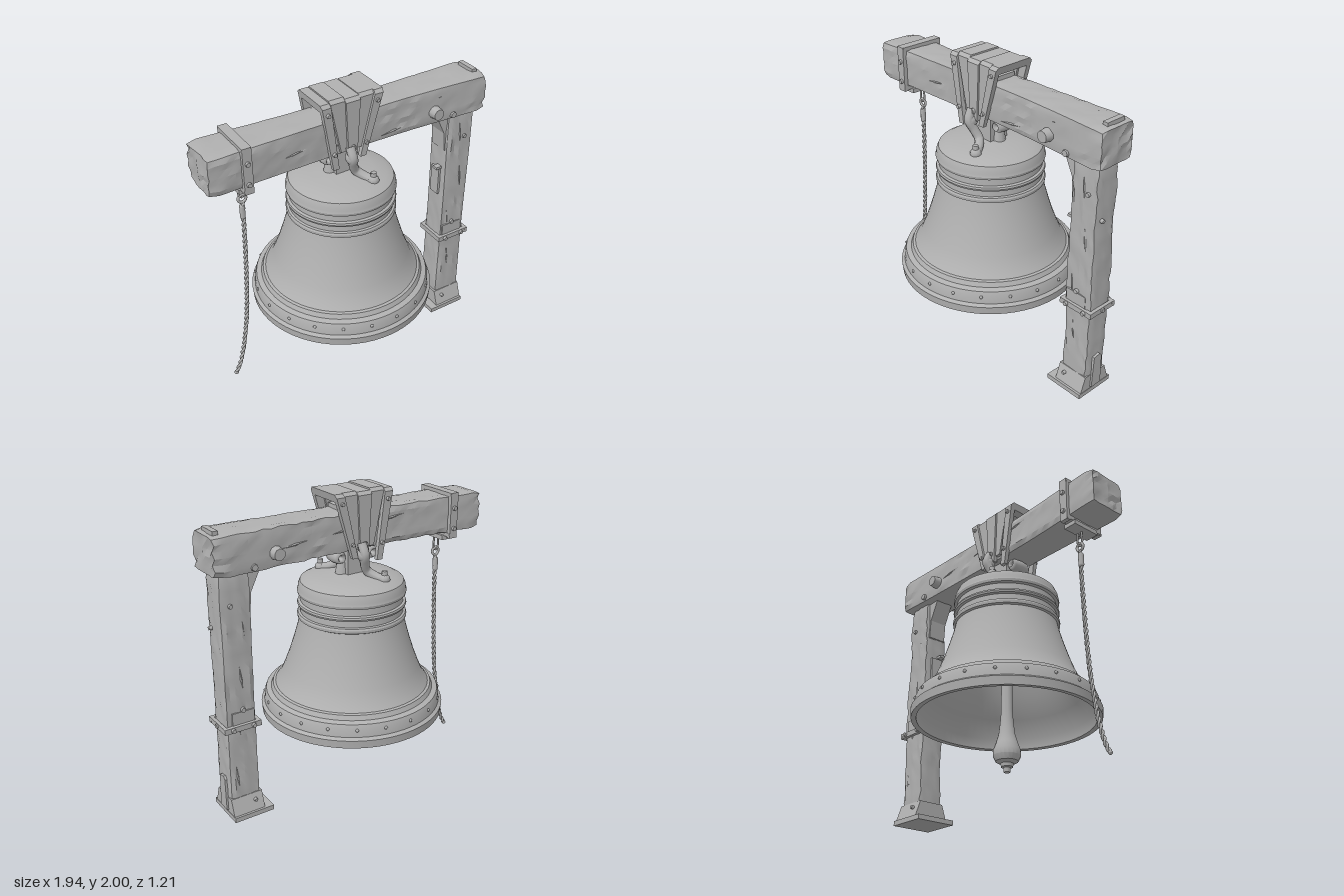
import * as THREE from 'three';
import { toCreasedNormals } from 'three/addons/utils/BufferGeometryUtils.js';

const V = (x, y, z) => new THREE.Vector3(x, y, z);

export function createModel() {
  const model = new THREE.Group();
  const grey = new THREE.MeshStandardMaterial({ color: 0xb0b0b0 });
  grey.name = 'weathered grey';
  const BX = -0.035; // bell axis

  function add(name, geo, x = 0, y = 0, z = 0, parent = model) {
    const m = new THREE.Mesh(geo, grey);
    m.name = name;
    m.position.set(x, y, z);
    parent.add(m);
    return m;
  }
  const box = (name, w, h, d, x, y, z) => add(name, new THREE.BoxGeometry(w, h, d), x, y, z);
  const lathe = (pts, n) => toCreasedNormals(
    new THREE.LatheGeometry(pts.map(p => new THREE.Vector2(p[0], p[1])), n), 0.5);
  const bend = (geo, rule) => { // move every vertex by a rule
    const p = geo.attributes.position, v = V();
    for (let i = 0; i < p.count; i++) {
      v.fromBufferAttribute(p, i);
      rule(v);
      p.setXYZ(i, v.x, v.y, v.z);
    }
    const out = geo.index ? geo.toNonIndexed() : geo;
    return toCreasedNormals(out, 0.45);
  };
  const hash = (a, b, c) => {
    const s = Math.sin(Math.round(a * 500) * 12.99 + Math.round(b * 500) * 78.23 + Math.round(c * 500) * 37.72) * 43758.5453;
    return s - Math.floor(s) - 0.5;
  };
  // bolt head with its axis along 'x' or 'z'
  function bolt(x, y, z, r = 0.016, h = 0.02, axis = 'z', sides = 8) {
    const m = add('bolt', new THREE.CylinderGeometry(r * 0.85, r, h, sides), x, y, z);
    if (axis === 'z') m.rotation.x = z < 0 ? -Math.PI / 2 : Math.PI / 2;
    else m.rotation.z = -Math.PI / 2;
  }

  // rough timber running along x, with worn edges and grain ripples
  function timber(len, h, d, segs, widen) {
    return bend(new THREE.BoxGeometry(len, h, d, segs, 6, 6), v => {
      const { x, y, z } = v;
      const u = x / (len / 2), a = Math.abs(y) / (h / 2), b = Math.abs(z) / (d / 2);
      const end = Math.abs(u) > 0.999 ? 0.93 : 1;
      const worn = a > 0.99 && b > 0.99 ? 0.95 : 1;
      const n = hash(x, y, z);
      v.y = y * end * worn + (a > 0.99 ? n * 0.008 : 0);
      v.z = z * end * worn * widen(u) + (b > 0.99 ? n * 0.009 + Math.sin(y * 75 + x * 5) * 0.003 : 0);
      if (end < 1) v.x += n * 0.015;
    });
  }
  add('beam', timber(1.925, 0.245, 0.25, 36, u => 0.9 + 0.2 * Math.min(1, u * u * 1.2)), 0.005, 1.74, 0);
  const post = add('post', timber(1.61, 0.2, 0.172, 32, () => 1), 0.83, 0.815, 0);
  post.rotation.z = Math.PI / 2;
  // raised splinters on the wood faces
  for (let i = 0; i < 16; i++) {
    const s = i % 2 ? 1 : -1, t = i / 15;
    const onBeam = i < 8;
    const m = add('splinter', new THREE.OctahedronGeometry(1, 0),
      onBeam ? -0.6 + t * 2.6 : 0.77 + (i * 0.37 % 1) * 0.11,
      onBeam ? 1.66 + (i * 0.41 % 1) * 0.16 : 0.2 + (t - 0.5) * 2.5,
      s * (onBeam ? 0.118 : 0.086));
    m.scale.set(0.09, 0.008, 0.006);
    m.rotation.z = onBeam ? 0.12 * s : Math.PI / 2 + 0.1 * s;
  }

  // post foot: flared shoe and base plate
  const shoe = add('postShoe', bend(new THREE.BoxGeometry(0.22, 0.11, 0.18), v => {
    if (v.y < 0) v.z *= 1.42;
  }), 0.827, 0.085, 0);
  shoe.scale.x = 0.98;
  box('basePlate', 0.275, 0.032, 0.285, 0.8, 0.016, 0);
  const tab = new THREE.Shape([[-0.042, 0], [0.042, 0], [0.038, 0.22], [0.02, 0.24], [-0.03, 0.23]].map(p => new THREE.Vector2(...p)));
  add('footTab', new THREE.ExtrudeGeometry(tab, { depth: 0.02, bevelEnabled: false }), 0.927, 0.045, 0).rotation.y = Math.PI / 2;

  // post band, plates, brace and peg
  for (const s of [-1, 1]) {
    box('postBandSide', 0.25, 0.036, 0.025, 0.832, 0.638, s * 0.097);
    box('postBandEnd', 0.022, 0.036, 0.22, 0.832 + s * 0.113, 0.638, 0);
    for (const x of [0.76, 0.9]) bolt(x, 0.638, s * 0.115);
    box('postPlate', 0.15, 0.08, 0.012, 0.82, 0.7, s * 0.088);
    bolt(0.72, 1.65, s * 0.128, 0.024, 0.03);
    bolt(0.575, 1.71, s * 0.145, 0.043, 0.06, 'z', 10);
    bolt(0.865, 1.43, s * 0.09);
    bolt(0.775, 0.1, s * 0.115, 0.013);
    bolt(0.82, 0.75, s * 0.092, 0.018);
  }
  bolt(0.955, 0.638, 0, 0.018, 0.02, 'x');
  bolt(0.94, 1.27, 0.04, 0.014, 0.02, 'x');
  const brace = new THREE.Shape([[0.645, 1.625], [0.75, 1.625], [0.75, 1.33], [0.725, 1.35], [0.715, 1.48]].map(p => new THREE.Vector2(...p)));
  add('cornerBrace', new THREE.ExtrudeGeometry(brace, { depth: 0.13, bevelEnabled: false }), 0, 0, -0.065);
  box('peg', 0.06, 0.018, 0.04, 0.715, 1.208, 0.03);
  box('innerBatten', 0.02, 0.2, 0.08, 0.725, 1.09, 0);
  box('beamEndClip', 0.035, 0.03, 0.14, 0.925, 1.868, -0.01);

  // bell with inner wall, mouldings and lip
  add('bell', lathe([
    [0, 1.39], [0.25, 1.37], [0.29, 1.32], [0.3, 1.15], [0.34, 1], [0.4, 0.82], [0.48, 0.69], [0.555, 0.58], [0.565, 0.51],
    [0.598, 0.507], [0.603, 0.56], [0.583, 0.575], [0.578, 0.63], [0.568, 0.655], [0.535, 0.665], [0.522, 0.695],
    [0.505, 0.7], [0.47, 0.75], [0.44, 0.82], [0.41, 0.9], [0.378, 1], [0.352, 1.09], [0.337, 1.155],
    [0.35, 1.162], [0.352, 1.18], [0.346, 1.192], [0.332, 1.196], [0.33, 1.235], [0.346, 1.24], [0.35, 1.252], [0.346, 1.264],
    [0.33, 1.27], [0.328, 1.312], [0.346, 1.318], [0.35, 1.335], [0.344, 1.352], [0.343, 1.37], [0.33, 1.4],
    [0.285, 1.425], [0.2, 1.438], [0.1, 1.455], [0, 1.46],
  ], 64), BX, 0, 0);
  for (let i = 0; i < 20; i++) {
    const a = (i + 0.3) / 20 * Math.PI * 2;
    add('rimRivet', new THREE.SphereGeometry(0.011, 8, 6), BX + 0.578 * Math.sin(a), 0.62, 0.578 * Math.cos(a));
  }

  // clapper
  add('clapper', lathe([
    [0, 0.175], [0.02, 0.177], [0.022, 0.205], [0.037, 0.21], [0.04, 0.232], [0.07, 0.245], [0.087, 0.28], [0.085, 0.32],
    [0.07, 0.36], [0.052, 0.42], [0.042, 0.5], [0.036, 0.58], [0.033, 1.38], [0, 1.39],
  ], 20), BX, 0, 0);

  // yoke: inverted U hoops over the beam, fanned out toward the top
  function hoop(name, xTop, xLow, wTop, wLow, yLow, zOut, yTop) {
    const s = new THREE.Shape([[-zOut, yLow], [-zOut + 0.028, yLow], [-zOut + 0.033, yTop - 0.05], [zOut - 0.033, yTop - 0.05],
      [zOut - 0.028, yLow], [zOut, yLow], [zOut, yTop - 0.02], [zOut - 0.02, yTop], [-zOut + 0.02, yTop], [-zOut, yTop - 0.02]]
      .map(p => new THREE.Vector2(...p)));
    const g = new THREE.ExtrudeGeometry(s, { depth: 1, bevelEnabled: false });
    g.translate(0, 0, -0.5).rotateY(Math.PI / 2);
    add(name, bend(g, v => {
      const t = (v.y - yLow) / (yTop - yLow);
      v.x = THREE.MathUtils.lerp(xLow, xTop, t) + v.x * THREE.MathUtils.lerp(wLow, wTop, t);
    }));
  }
  hoop('leftYokeStrap', 0.145, 0.035, 0.06, 0.04, 1.58, 0.145, 1.99);
  hoop('rightYokeStrap', -0.215, -0.15, 0.06, 0.04, 1.54, 0.14, 1.985);
  hoop('yokeFluteA', -0.135, -0.09, 0.1, 0.04, 1.64, 0.13, 1.995);
  hoop('yokeFluteB', -0.035, -0.035, 0.1, 0.06, 1.6, 0.142, 1.985);
  hoop('yokeFluteC', 0.065, 0.01, 0.1, 0.04, 1.64, 0.13, 1.99);
  box('yokeSaddle', 0.24, 0.05, 0.17, -0.035, 1.865, 0);
  for (const s of [-1, 1]) {
    for (const [x, y] of [[0.13, 1.93], [0.055, 1.67], [-0.205, 1.92], [-0.165, 1.65]]) bolt(x, y, s * 0.147, 0.014);
    bolt(BX, 1.66, s * 0.147, 0.02);
  }

  // crown: stem, side curls and S-shaped arms down to the bell
  box('crownStem', 0.15, 0.2, 0.14, BX, 1.53, 0);
  for (const x of [-0.155, 0.085]) {
    const curl = add('crownCurl', new THREE.TorusGeometry(0.026, 0.018, 8, 16), x, 1.568, 0);
    curl.scale.z = 4;
  }
  for (const s of [-1, 1]) {
    const arm = new THREE.CatmullRomCurve3([V(-0.02, 1.67, 0.135), V(-0.015, 1.6, 0.165), V(0.0, 1.54, 0.14),
      V(0.03, 1.48, 0.125), V(0.07, 1.445, 0.165), V(0.1, 1.435, 0.215)]);
    const g = new THREE.Group();
    g.name = s > 0 ? 'frontCrownArm' : 'backCrownArm';
    g.position.x = BX;
    g.rotation.y = s > 0 ? 0 : Math.PI;
    model.add(g);
    add('arm', new THREE.TubeGeometry(arm, 20, 0.03, 8), 0, 0, 0, g);
    add('lobe', new THREE.SphereGeometry(0.045, 12, 8), -0.015, 1.595, 0.145, g).scale.set(0.8, 1, 1);
    add('foot', new THREE.SphereGeometry(0.036, 10, 8), 0.1, 1.435, 0.215, g);
    add('footBolt', new THREE.CylinderGeometry(0.018, 0.02, 0.03, 8), 0.1, 1.475, 0.215, g);
    add('sideRoot', new THREE.CylinderGeometry(0.03, 0.05, 0.13, 10), 0.075, 1.48, 0, g);
  }

  // beam clamp
  for (const s of [-1, 1]) {
    box('clampSide', 0.058, 0.3, 0.028, -0.73, 1.735, s * 0.14);
    box('clampCap', 0.06, 0.026, 0.3, -0.73, s > 0 ? 1.872 : 1.605, 0);
    for (const y of [1.65, 1.785]) bolt(-0.73, y, s * 0.158, 0.017);
  }
  box('clampFoot', 0.09, 0.03, 0.2, -0.728, 1.58, 0);

  // shackle, link and bell rope
  const rod = (name, pts, r) => add(name, new THREE.TubeGeometry(new THREE.CatmullRomCurve3(pts), 24, r, 6));
  rod('shackle', [V(-0.73, 1.57, 0), V(-0.732, 1.49, 0), V(-0.715, 1.47, 0), V(-0.698, 1.49, 0), V(-0.7, 1.57, 0)], 0.007);
  add('ropeRing', new THREE.TorusGeometry(0.026, 0.009, 8, 16), -0.714, 1.462, 0);
  add('ropeKnot', new THREE.CapsuleGeometry(0.018, 0.07, 4, 8), -0.718, 1.37, 0);
  const path = new THREE.CatmullRomCurve3([V(-0.714, 1.44, 0), V(-0.718, 1.2, 0), V(-0.732, 0.85, 0), V(-0.755, 0.55, 0),
    V(-0.8, 0.28, 0), V(-0.835, 0.16, 0), V(-0.868, 0.095, 0)]);
  // two strands twisted around the path
  for (const ph of [0, Math.PI]) {
    const pts = [];
    for (let i = 0; i <= 140; i++) {
      const a = i * 0.75 + ph;
      pts.push(path.getPointAt(i / 140).add(V(Math.cos(a) * 0.007, 0, Math.sin(a) * 0.007)));
    }
    add('ropeStrand', new THREE.TubeGeometry(new THREE.CatmullRomCurve3(pts), 280, 0.0085, 6));
  }
  add('ropeEnd', new THREE.SphereGeometry(0.014, 8, 6), -0.866, 0.1, 0);

  return model;
}
